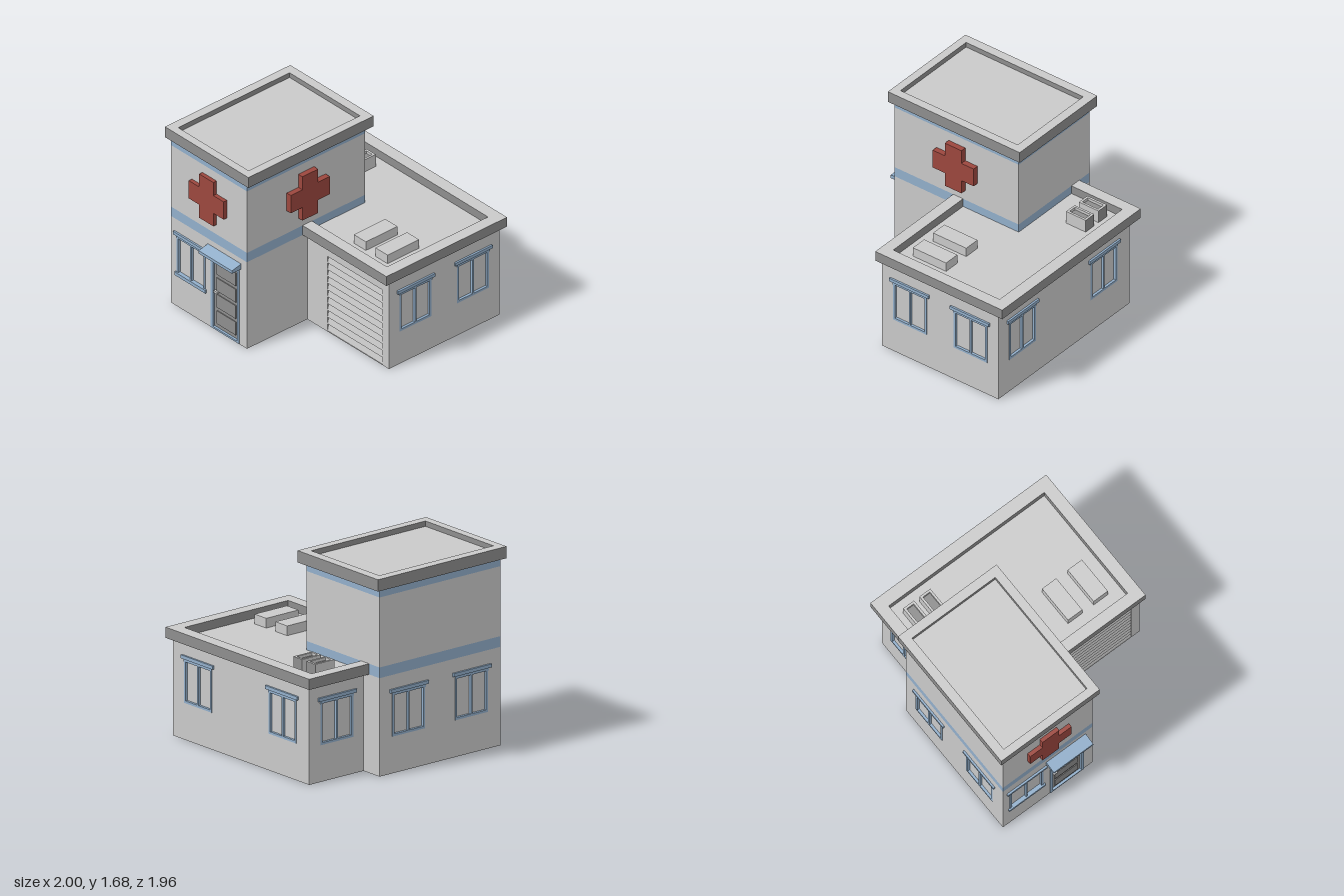
import * as THREE from 'three';

const mat = (name, color) => {
  const m = new THREE.MeshStandardMaterial({ color });
  m.name = name;
  return m;
};

export function createModel() {
  const root = new THREE.Group();
  root.name = 'clinicBuilding';
  const light = mat('paleGrey', 0xcacaca);
  const dark = mat('darkGrey', 0x8e8e8e);
  const blue = mat('softBlue', 0x92afcb);
  const red = mat('crossRed', 0x9c473e);

  // Box given by its limits on each axis
  function box(parent, name, m, x0, x1, y0, y1, z0, z1) {
    const mesh = new THREE.Mesh(new THREE.BoxGeometry(x1 - x0, y1 - y0, z1 - z0), m);
    mesh.position.set((x0 + x1) / 2, (y0 + y1) / 2, (z0 + z1) / 2);
    mesh.name = name;
    parent.add(mesh);
    return mesh;
  }

  // Rectangle [x0, x1, y0, y1] with rectangular holes, extruded from z to z + depth
  const corners = ([x0, x1, y0, y1]) =>
    [[x0, y0], [x1, y0], [x1, y1], [x0, y1]].map(p => new THREE.Vector2(...p));
  function plate(rect, holes, z, depth) {
    const shape = new THREE.Shape(corners(rect));
    holes.forEach(h => shape.holes.push(new THREE.Path(corners(h).reverse())));
    return new THREE.ExtrudeGeometry(shape, { depth, bevelEnabled: false }).translate(0, 0, z);
  }
  function add(parent, name, geometry, m) {
    const mesh = new THREE.Mesh(geometry, m);
    mesh.name = name;
    parent.add(mesh);
    return mesh;
  }

  // Wall in its own frame: outside faces local +z, u runs to the right seen from outside
  function wall(name, angle, x, z, u0, u1, openings = []) {
    const g = new THREE.Group();
    g.name = name;
    g.position.set(x, 0, z);
    g.rotation.y = angle;
    root.add(g);
    add(g, name + 'Panel', plate([u0, u1, 0, 0.83], openings, -0.03, 0.03), light);
    return g;
  }

  const windowHole = c => [c - 0.172, c + 0.172, 0.31, 0.67];

  // Two-pane window with stepped lintel
  function addWindow(g, c, sill = false) {
    const w = new THREE.Group();
    w.name = 'window';
    w.position.x = c;
    g.add(w);
    add(w, 'windowFrame', plate([-0.172, 0.172, 0.31, 0.67],
      [[-0.152, -0.008, 0.33, 0.66], [0.008, 0.152, 0.33, 0.66]], -0.026, 0.029), blue);
    box(w, 'windowPane', light, -0.16, 0.16, 0.32, 0.665, -0.024, -0.019);
    box(w, 'lintelStep', blue, -0.175, 0.175, 0.66, 0.685, 0, 0.008);
    box(w, 'lintel', blue, -0.2, 0.2, 0.683, 0.712, 0, 0.017);
    if (sill) box(w, 'windowSill', blue, -0.185, 0.185, 0.3, 0.33, 0, 0.016);
  }

  function windowWall(name, angle, x, z, u0, u1, centres) {
    const g = wall(name, angle, x, z, u0, u1, centres.map(windowHole));
    centres.forEach(c => addWindow(g, c));
  }

  // Ground floor walls
  const Q = Math.PI / 2;
  windowWall('wingFrontWall', 0, 0, 0.95, -0.25, 0.94, [0.035, 0.655]);
  windowWall('wingLeftWall', Q, 0.94, 0, -0.95, 0.74, [-0.64, 0.41]);
  windowWall('wingBackWall', 2 * Q, 0, -0.74, -0.94, -0.37, [-0.65]);
  windowWall('towerBackWall', 2 * Q, 0, -0.94, -0.37, 0.9, [-0.065, 0.595]);
  wall('towerLeftWall', Q, 0.37, 0, 0.74, 0.94);
  wall('towerFrontWall', 0, 0, -0.03, -0.9, -0.25);

  // Garage side with roller shutter
  const garage = [0.21, 0.87, 0.004, 0.72];
  const garageWall = wall('garageWall', -Q, -0.25, 0, -0.03, 0.95, [garage]);
  const slats = 11, slatH = 0.716 / slats;
  for (let i = 0; i < slats; i++) {
    const y = 0.004 + i * slatH;
    const s = box(garageWall, 'shutterSlat', light, 0.21, 0.87, y, y + slatH, -0.018, -0.01);
    s.rotation.x = -0.22;
  }

  // Entrance side: window, door and awning
  const doorHole = [-0.46, -0.12, 0.004, 0.71];
  const entry = wall('entranceWall', -Q, -0.9, 0, -0.94, -0.03, [windowHole(-0.7), doorHole]);
  addWindow(entry, -0.7, true);
  add(entry, 'doorFrame', plate(doorHole, [[-0.435, -0.145, 0.02, 0.685]], -0.028, 0.033), blue);
  box(entry, 'door', dark, -0.44, -0.14, 0.015, 0.69, -0.026, -0.016);
  for (let i = 0; i < 4; i++) {
    const y = 0.055 + i * 0.157;
    box(entry, 'doorPanel', dark, -0.405, -0.175, y, y + 0.125, -0.016, -0.009);
  }
  box(entry, 'doorHandle', light, -0.425, -0.385, 0.35, 0.37, -0.016, 0.005);
  const awning = new THREE.Shape(
    [[0, 0.73], [0.1, 0.73], [0.1, 0.757], [0, 0.78]].map(p => new THREE.Vector2(...p)));
  add(entry, 'awning', new THREE.ExtrudeGeometry(awning, { depth: 0.4, bevelEnabled: false })
    .rotateY(-Q).translate(-0.1, 0, 0), blue);

  // Tower upper floor with painted bands
  [['lowerBand', blue, 0.83, 0.92], ['towerUpperWalls', light, 0.92, 1.51],
    ['upperBand', blue, 1.51, 1.58]].forEach(([name, m, y0, y1]) =>
    box(root, name, m, -0.9, 0.37, y0, y1, -0.94, -0.03));
  box(root, 'towerCeiling', dark, -0.88, 0.36, 0.822, 0.829, -0.92, -0.05);

  // Flat roofs: dark slab with light top, plus a parapet ring
  function roof(name, x0, x1, z0, z1, y0, floor, top, rim) {
    box(root, name + 'Slab', [dark, dark, light, dark, dark, dark], x0, x1, y0, floor, z0, z1);
    const [a, b, c, d] = rim;
    const ring = plate([x0, x1, -z1, -z0], [[a, b, -d, -c]], floor, top - floor).rotateX(-Q);
    add(root, name + 'Parapet', ring, [light, dark]);
  }
  roof('wingRoof', -0.3, 1, -0.81, 0.975, 0.83, 0.845, 0.92, [-0.2, 0.89, -0.71, 0.87]);
  roof('towerRoof', -0.93, 0.42, -0.98, 0.02, 1.58, 1.635, 1.68, [-0.86, 0.34, -0.9, -0.055]);

  // Rooftop boxes
  for (const z of [0.35, 0.61]) {
    box(root, 'rooftopBox', light, -0.09, 0.25, 0.845, 0.927, z, z + 0.145);
  }
  for (const z of [-0.64, -0.475]) {
    box(root, 'ventBase', [dark, dark, dark, light, light, light],
      0.59, 0.79, 0.845, 0.935, z, z + 0.11);
    const rim = plate([0.59, 0.79, -z - 0.11, -z], [[0.61, 0.77, -z - 0.09, -z - 0.02]], 0.935, 0.025);
    add(root, 'ventRim', rim.rotateX(-Q), light);
    for (const x of [0.5895, 0.7895]) {
      box(root, 'ventEnd', dark, x, x + 0.001, 0.935, 0.959, z, z + 0.11);
    }
  }

  // Red crosses on two tower faces
  function cross(name, depth) {
    const a = 0.085, r = 0.21;
    const pts = [[a, r], [-a, r], [-a, a], [-r, a], [-r, -a], [-a, -a],
      [-a, -r], [a, -r], [a, -a], [r, -a], [r, a], [a, a]];
    const shape = new THREE.Shape(pts.map(p => new THREE.Vector2(...p)));
    return add(root, name, new THREE.ExtrudeGeometry(shape, { depth, bevelEnabled: false }), red);
  }
  cross('frontCross', 0.05).position.set(-0.262, 1.222, -0.03);
  const side = cross('sideCross', 0.035);
  side.position.set(-0.9, 1.222, -0.48);
  side.rotation.y = -Q;

  return root;
}
